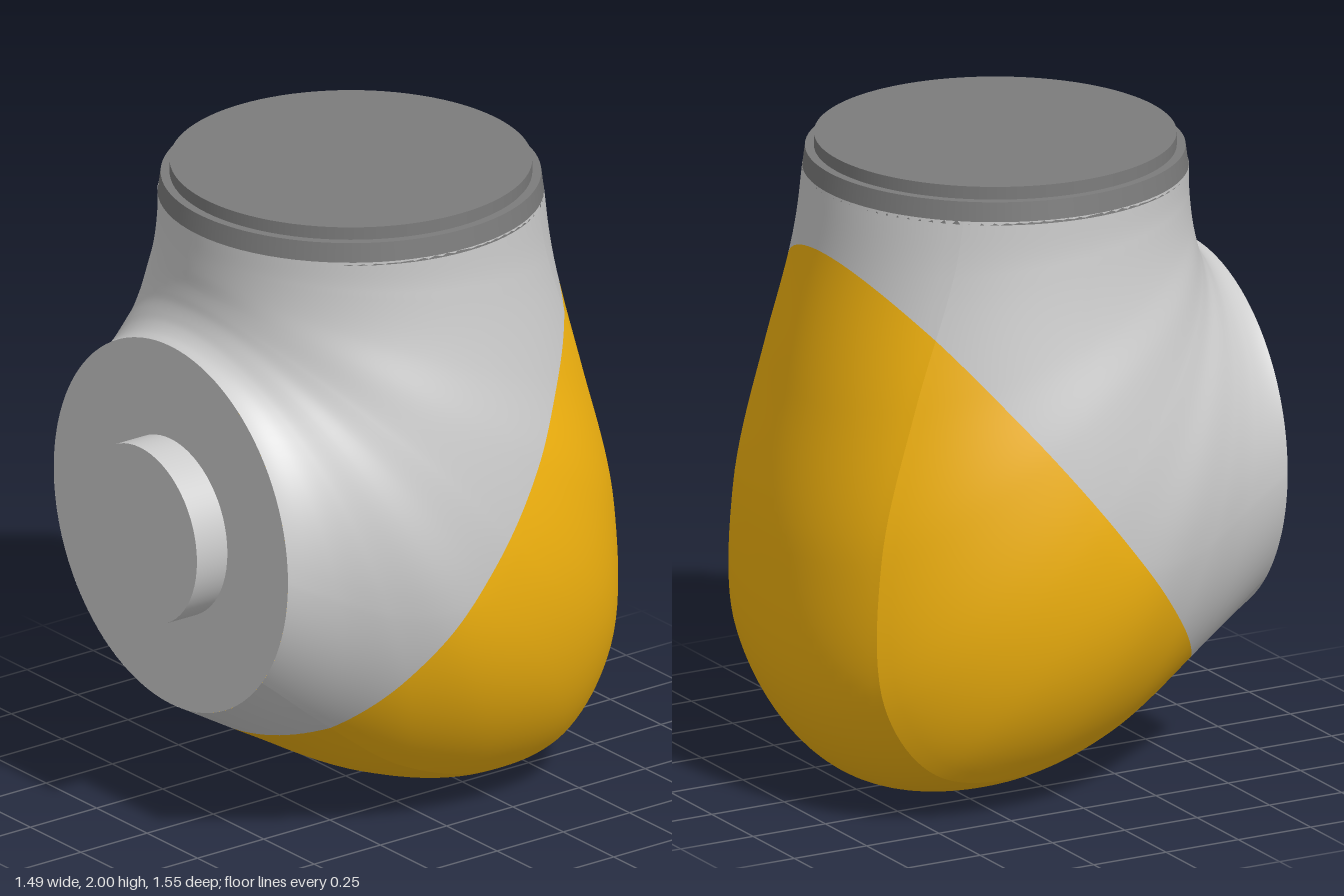
import * as THREE from 'three';

// Elbow stations: inner z, inner y, outer z, outer y, half width, sag of the outer cap
const STATIONS = [
  [0.562, 1.9, -0.6, 1.9, 0.58, 0.214],
  [0.562, 1.83, -0.625, 1.68, 0.59, 0.2],
  [0.564, 1.77, -0.698, 1.27, 0.63, 0.155],
  [0.566, 1.72, -0.765, 0.8, 0.695, 0.115],
  [0.572, 1.68, -0.735, 0.33, 0.735, 0.11],
  [0.578, 1.65, -0.55, 0.07, 0.742, 0.12],
  [0.59, 1.62, -0.25, 0.003, 0.725, 0.13],
  [0.605, 1.595, 0.08, 0.08, 0.675, 0.14],
  [0.63, 1.573, 0.4, 0.25, 0.615, 0.18],
  [0.66, 1.56, 0.66, 0.4, 0.58, 0.214],
];
const CREASE = 0.45; // half width of the outer cap

const curve = (pick) => new THREE.CatmullRomCurve3(STATIONS.map(pick), false, 'centripetal');
const innerLine = curve((s) => new THREE.Vector3(0, s[1], s[0]));
const outerLine = curve((s) => new THREE.Vector3(0, s[3], s[2]));
const interp = (k, t) => {
  const n = STATIONS.length - 1, p = t * n, i = Math.min(Math.floor(p), n - 1);
  const at = (j) => STATIONS[Math.max(0, Math.min(n, j))][k];
  return THREE.MathUtils.clamp(p - i, 0, 1) === 0 ? at(i)
    : catmull(at(i - 1), at(i), at(i + 1), at(i + 2), p - i);
};
const catmull = (a, b, c, d, f) =>
  b + 0.5 * f * (c - a + f * (2 * a - 5 * b + 4 * c - d + f * (3 * (b - c) + d - a)));

// Half section as [x, distance from the inner line]; v: 0..1 front half, 1..2 flank, 2..3 cap
function halfSection(v, width, depth, sag) {
  const mid = depth / 2;
  if (v <= 1) {
    const a = v * Math.PI / 2;
    return [width * Math.sin(a), mid * (1 - Math.cos(a))];
  }
  if (v <= 2) {
    const s = v - 1;
    return [Math.sqrt(width ** 2 - (width ** 2 - CREASE ** 2) * s * s), mid + (mid - sag) * s];
  }
  const r = (CREASE ** 2 + sag ** 2) / (2 * sag), x = CREASE * (3 - v);
  return [x, depth - r + Math.sqrt(r * r - x * x)];
}

// Loft one strip of the elbow between two signed section positions
function strip(sectionAt, rows = 90, cols = 80) {
  const pos = [], index = [];
  for (let i = 0; i <= rows; i++) {
    const t = i / rows, a = innerLine.getPoint(t), b = outerLine.getPoint(t);
    const depth = a.distanceTo(b), dir = b.clone().sub(a).normalize();
    for (let j = 0; j <= cols; j++) {
      const [side, v] = sectionAt(j / cols);
      const [x, u] = halfSection(v, interp(4, t), depth, interp(5, t));
      pos.push(side * x, a.y + dir.y * u, a.z + dir.z * u);
    }
  }
  for (let i = 0; i < rows; i++) for (let j = 0; j < cols; j++) {
    const a = i * (cols + 1) + j, c = a + cols + 1;
    index.push(a, c, a + 1, a + 1, c, c + 1);
  }
  const g = new THREE.BufferGeometry();
  g.setAttribute('position', new THREE.Float32BufferAttribute(pos, 3));
  g.setIndex(index);
  g.computeVertexNormals();
  return g.toNonIndexed();
}

// Keep the part of a geometry on one side of the sloping cover joint
function clip(geometry, sign) {
  const p = geometry.attributes.position, n = geometry.attributes.normal, pos = [], nor = [];
  const height = (v) => sign * (v.y - 1.715 + (v.z + 0.62) * 1.285);
  for (let i = 0; i < p.count; i += 3) {
    const tri = [0, 1, 2].map((k) => {
      const q = new THREE.Vector3().fromBufferAttribute(p, i + k);
      return { q, n: new THREE.Vector3().fromBufferAttribute(n, i + k), h: height(q) };
    });
    const poly = [];
    tri.forEach((a, k) => {
      const b = tri[(k + 1) % 3];
      if (a.h >= 0) poly.push(a);
      if (a.h * b.h < 0) {
        const f = a.h / (a.h - b.h);
        poly.push({ q: a.q.clone().lerp(b.q, f), n: a.n.clone().lerp(b.n, f).normalize() });
      }
    });
    for (let k = 1; k + 1 < poly.length; k++) for (const c of [poly[0], poly[k], poly[k + 1]]) {
      pos.push(...c.q.toArray());
      nor.push(...c.n.toArray());
    }
  }
  const g = new THREE.BufferGeometry();
  g.setAttribute('position', new THREE.Float32BufferAttribute(pos, 3));
  g.setAttribute('normal', new THREE.Float32BufferAttribute(nor, 3));
  return g;
}

export function createModel() {
  const model = new THREE.Group();
  const material = (color) => new THREE.MeshStandardMaterial({ color, side: THREE.DoubleSide });
  const grey = material(0xcccccc), dark = material(0x7c7c7c), yellow = material(0xf5b50f);
  const add = (name, geometry, mat, x = 0, y = 0, z = 0) => {
    const mesh = new THREE.Mesh(geometry, mat);
    mesh.name = name;
    mesh.position.set(x, y, z);
    model.add(mesh);
    return mesh;
  };

  // Elbow housing, split into grey shell and yellow rear cover
  const flanks = strip((s) => [s < 0.5 ? -1 : 1, Math.abs(s * 2 - 1) * 2]);
  const cap = strip((s) => [s < 0.5 ? 1 : -1, 3 - Math.abs(s * 2 - 1)], 90, 30);
  for (const [name, g] of [['Flanks', flanks], ['Back', cap]]) {
    add('shell' + name, clip(g, 1), grey);
    add('cover' + name, clip(g, -1), yellow);
  }

  // Front flange and its hub
  add('frontFlange', new THREE.CircleGeometry(0.58, 96), grey, 0, 0.98, 0.66);
  add('frontHub', new THREE.CylinderGeometry(0.28, 0.28, 0.115, 64), grey, 0, 0.98, 0.7175)
    .rotation.x = Math.PI / 2;

  // Top collar and disc
  add('topCollar', new THREE.CylinderGeometry(0.572, 0.581, 0.07, 96), dark, 0, 1.925, -0.02);
  add('topDisc', new THREE.CylinderGeometry(0.545, 0.545, 0.04, 96), dark, 0, 1.98, -0.02);
  return model;
}
